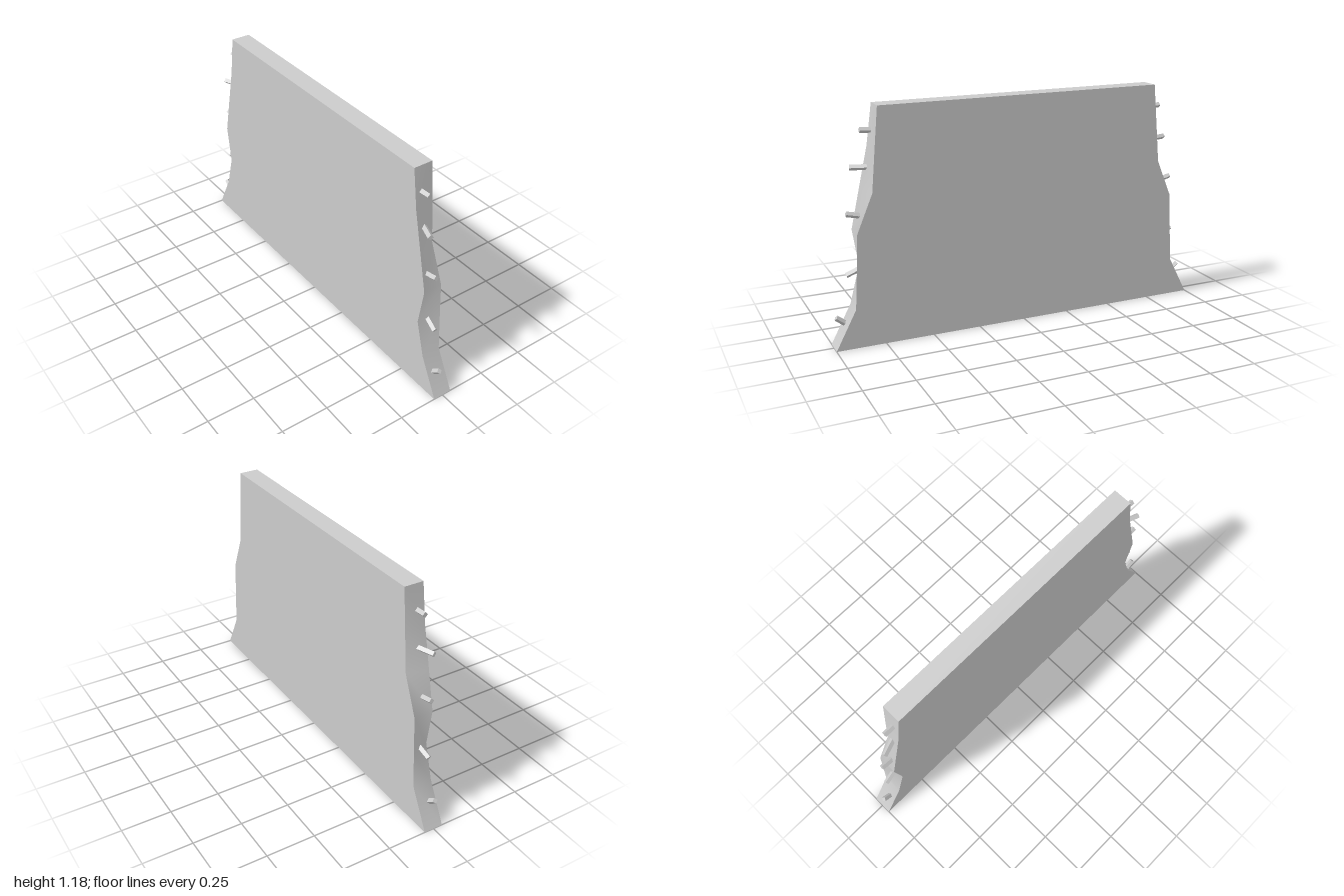
import * as THREE from 'three';
import { toCreasedNormals } from 'three/addons/utils/BufferGeometryUtils.js';

const DEPTH = 0.05; // half thickness

// Half-width of the panel at each height: [y, front x, back x]
const ROWS = [
  [0, 1, 1],
  [0.2, 0.895, 0.895],
  [0.38, 0.843, 0.883],
  [0.576, 0.872, 0.872],
  [0.77, 0.828, 0.79],
  [0.98, 0.78, 0.77],
  [1.185, 0.75, 0.75],
];

// Pegs on the +x side: [inner point, outer tip]
const PEGS = [
  [[0.74, 1.06, 0.014], [0.822, 1.064, 0.014]],
  [[0.775, 0.886, 0.003], [0.872, 0.884, 0.038]],
  [[0.83, 0.648, 0.014], [0.905, 0.665, 0.014]],
  [[0.835, 0.398, -0.002], [0.92, 0.361, 0.009]],
  [[0.92, 0.102, 0.014], [0.98, 0.149, 0.014]],
];

const material = new THREE.MeshStandardMaterial({ color: 0xcccccc, side: THREE.DoubleSide });

// Hollow panel: a loop of four corners per row, closed on top, open underneath
function panelGeometry() {
  const pos = [];
  const index = [];
  for (const [y, f, b] of ROWS) {
    pos.push(-f, y, DEPTH, f, y, DEPTH, b, y, -DEPTH, -b, y, -DEPTH);
  }
  for (let r = 0; r < ROWS.length - 1; r++) {
    for (let c = 0; c < 4; c++) {
      const a = r * 4 + c;
      const b = r * 4 + ((c + 1) % 4);
      // Mirror the diagonal so both edges fold alike
      if (c === 3) index.push(a, b, a + 4, b, b + 4, a + 4);
      else index.push(a, b, b + 4, a, b + 4, a + 4);
    }
  }
  const t = (ROWS.length - 1) * 4;
  index.push(t, t + 1, t + 2, t, t + 2, t + 3);
  const g = new THREE.BufferGeometry();
  g.setAttribute('position', new THREE.Float32BufferAttribute(pos, 3));
  g.setIndex(index);
  return toCreasedNormals(g, 0.8);
}

// Four-sided peg standing on a corner, running between two points
function peg(from, to, side) {
  const a = new THREE.Vector3(from[0] * side, from[1], from[2]);
  const b = new THREE.Vector3(to[0] * side, to[1], to[2]);
  const length = a.distanceTo(b);
  const g = new THREE.BoxGeometry(0.02, 0.02, length).rotateZ(Math.PI / 4);
  const mesh = new THREE.Mesh(g, material);
  mesh.position.copy(a).add(b).multiplyScalar(0.5);
  mesh.lookAt(b);
  return mesh;
}

export function createModel() {
  const model = new THREE.Group();
  model.name = 'peggedPanel';

  const panel = new THREE.Mesh(panelGeometry(), material);
  panel.name = 'panel';
  model.add(panel);

  // Pegs along both edges
  for (const side of [1, -1]) {
    const row = new THREE.Group();
    row.name = side > 0 ? 'leftPegs' : 'rightPegs';
    PEGS.forEach(([from, to], i) => {
      const p = peg(from, to, side);
      p.name = `peg${i + 1}`;
      row.add(p);
    });
    model.add(row);
  }
  return model;
}
